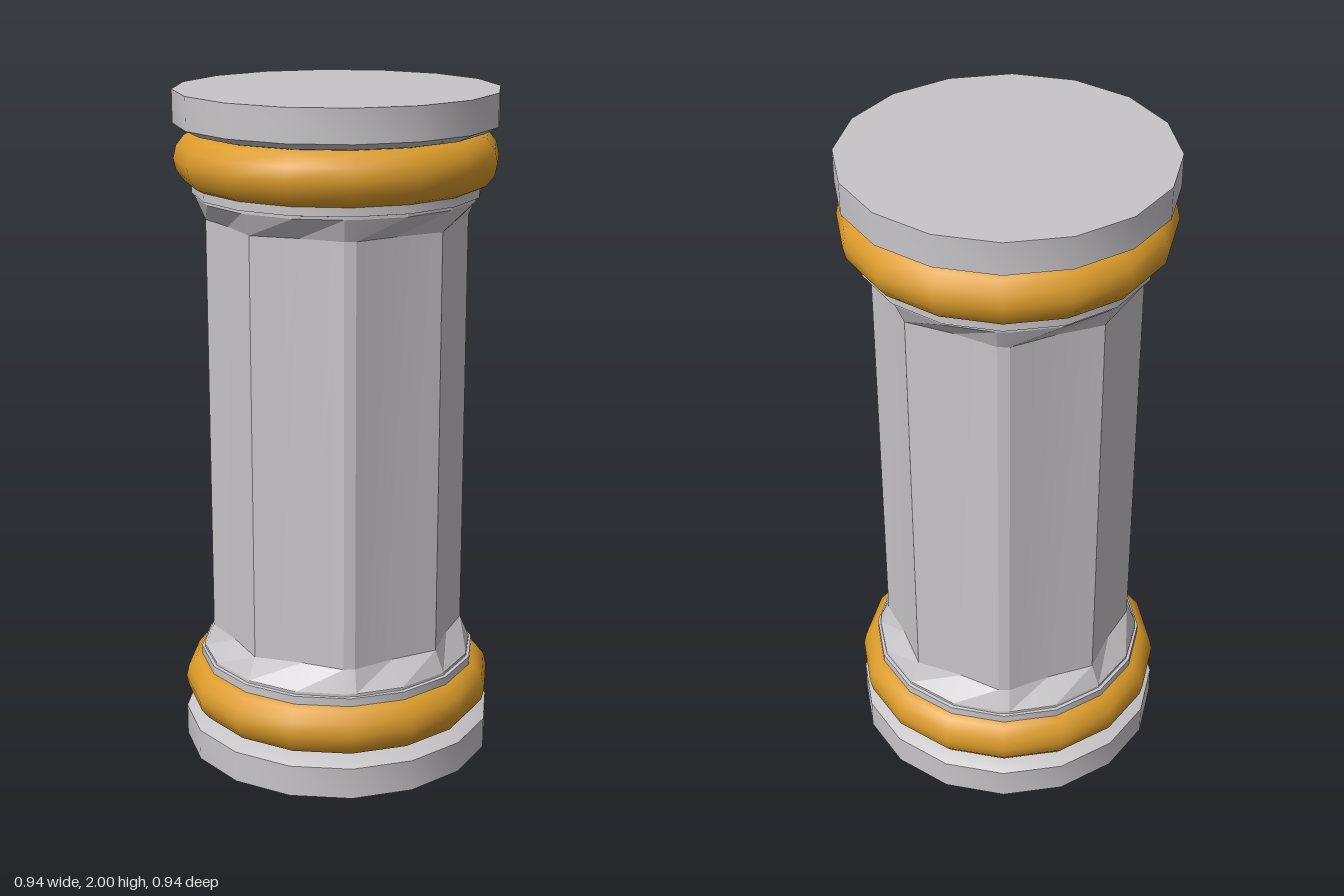
import * as THREE from 'three';
import { toCreasedNormals } from 'three/addons/utils/BufferGeometryUtils.js';

const SIDES = 16;
const stone = new THREE.MeshStandardMaterial({ color: 0xc8c5c9 });
stone.name = 'pale stone';
const gold = new THREE.MeshStandardMaterial({ color: 0xdb9b2a });
gold.name = 'gold';

function part(name, geometry, material) {
  const mesh = new THREE.Mesh(geometry, material);
  mesh.name = name;
  return mesh;
}

// Solid of revolution, smooth around and sharp at the rims
function turned(points) {
  const profile = points.map(([r, y]) => new THREE.Vector2(r, y));
  return toCreasedNormals(new THREE.LatheGeometry(profile, SIDES), 0.45);
}

// Eight-sided shaft with bevelled diagonal corners, flaring to round ends
function shaftGeometry() {
  const outline = []; // [angle in degrees, radius]
  for (let k = 0; k < 8; k++) {
    const a = k * 45;
    if (k % 2) outline.push([a - 2.5, 0.382], [a + 2.5, 0.382]);
    else outline.push([a, 0.38]);
    outline.push([a + 22.5, 0.348]);
  }
  const levels = [[0.29, 0.41], [0.305, 0.41], [0.37, 0], [1.63, 0], [1.695, 0.41], [1.71, 0.41]];
  const positions = [];
  const index = [];
  const n = outline.length;
  levels.forEach(([y, round], j) => {
    outline.forEach(([deg, radius], i) => {
      const a = THREE.MathUtils.degToRad(deg);
      const r = round || radius;
      positions.push(r * Math.sin(a), y, r * Math.cos(a));
      if (j === 0) return;
      const next = (i + 1) % n;
      const a0 = (j - 1) * n + i, b0 = (j - 1) * n + next;
      const a1 = j * n + i, b1 = j * n + next;
      index.push(a0, b0, b1, a0, b1, a1);
    });
  });
  const geometry = new THREE.BufferGeometry();
  geometry.setAttribute('position', new THREE.Float32BufferAttribute(positions, 3));
  geometry.setIndex(index);
  return toCreasedNormals(geometry, 0.3);
}

// Round plinth, gold ring and collar, modelled for the lower end
function endPieces(name) {
  const end = new THREE.Group();
  end.name = name;
  const plinth = turned([[0, 0], [0.47, 0], [0.47, 0.095], [0.43, 0.115], [0.36, 0.13]]);
  end.add(part('plinth', plinth, stone));

  const ring = new THREE.TorusGeometry(0.385, 0.085, 14, SIDES);
  ring.rotateX(Math.PI / 2);
  ring.translate(0, 0.195, 0);
  end.add(part('goldRing', ring, gold));

  const collar = turned([[0.42, 0.26], [0.42, 0.295], [0.37, 0.305]]);
  end.add(part('collar', collar, stone));
  return end;
}

export function createModel() {
  const model = new THREE.Group();
  model.name = 'column';
  model.add(part('shaft', shaftGeometry(), stone));
  model.add(endPieces('base'));

  // The capital is the base turned upside down
  const capital = endPieces('capital');
  capital.rotation.x = Math.PI;
  capital.position.y = 2;
  model.add(capital);
  return model;
}
